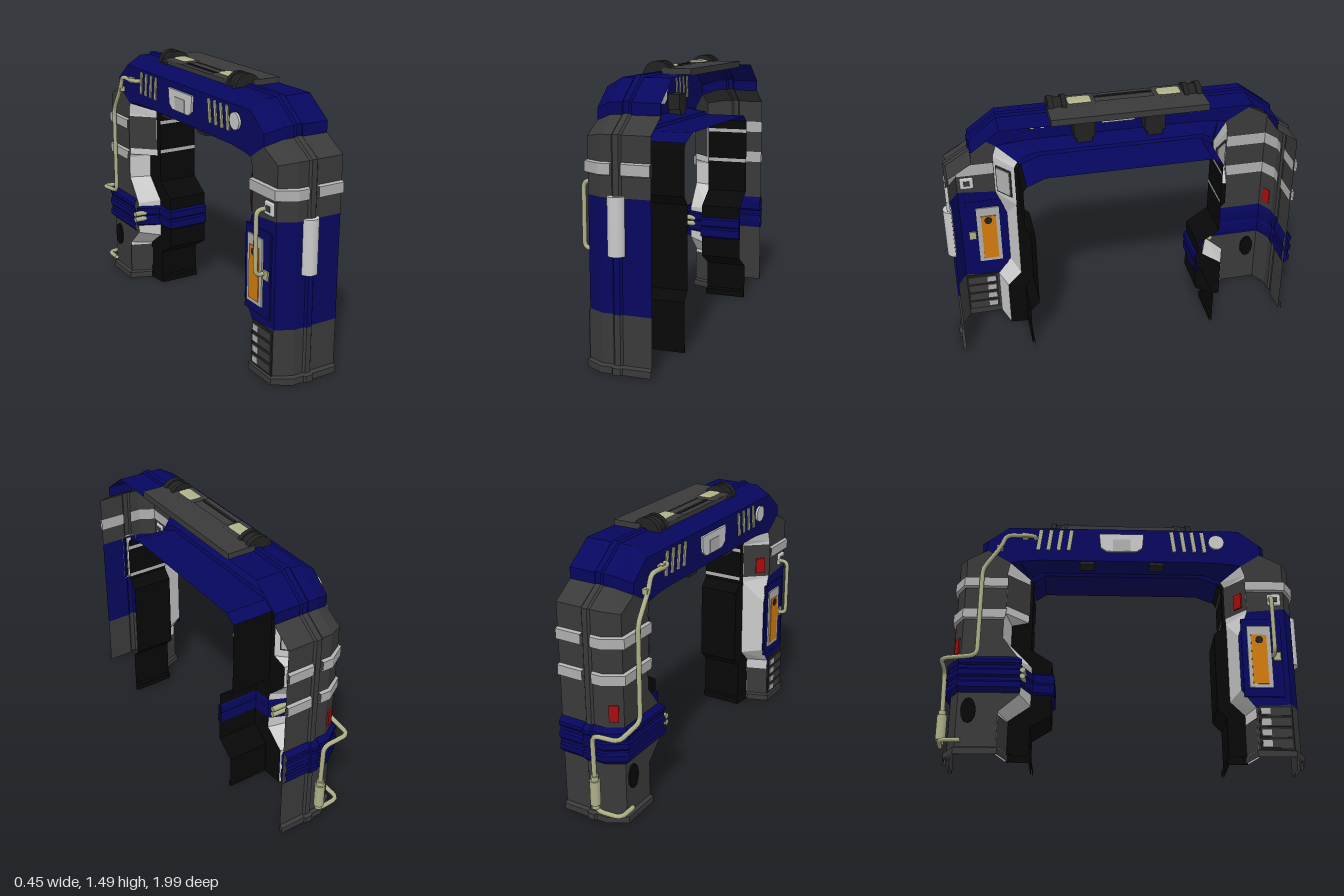
import * as THREE from 'three';
import { RoundedBoxGeometry } from 'three/addons/geometries/RoundedBoxGeometry.js';

const M = {};
for (const [name, color] of Object.entries({
  gray: 0x3a3a3a, blue: 0x07075f, black: 0x080808, silver: 0xb0b0b0, white: 0xcacaca,
  khaki: 0xaeb088, orange: 0xd47c0c, red: 0xa80c0c, charcoal: 0x222222,
})) {
  M[name] = new THREE.MeshStandardMaterial({ color, side: THREE.DoubleSide });
  M[name].name = name;
}

// stations round the arch, front leg to back leg: outer z,y | side-wall edge z,y | inner lip z,y | trim share
const STATIONS = [
  [.96, 0, .72, 0, .58, 0, .3], [.96, .3, .72, .28, .58, .27, .3], [.96, .42, .645, .38, .53, .32, .4],
  [.96, .7, .645, .70, .53, .77, .4], [.96, .87, .70, .85, .58, .82, .85], [.96, 1.17, .70, 1.08, .58, 1.06, .85],
  [.83, 1.25, .68, 1.14, .56, 1.09, .85], [.83, 1.31, .62, 1.15, .53, 1.1, .7], [.68, 1.42, .50, 1.16, .46, 1.13, .5],
  [-.65, 1.42, -.47, 1.16, -.44, 1.13, .5], [-.80, 1.31, -.58, 1.15, -.48, 1.1, .7], [-.80, 1.25, -.63, 1.14, -.5, 1.09, .85],
  [-.92, 1.17, -.64, 1.08, -.5, 1.06, .85], [-.92, .84, -.64, .82, -.5, .82, .85], [-.92, .82, -.65, .8, -.5, .8, .25],
  [-.92, .7, -.65, .67, -.5, .66, .25], [-.92, .55, -.545, .53, -.38, .58, .33],
  [-.92, .35, -.545, .34, -.38, .27, .33], [-.92, .22, -.655, .24, -.49, .2, .27], [-.92, 0, -.655, 0, -.49, 0, .27],
];
// outer profile with centre ridge and bevelled edge: x, raise
const OUTER = [[.19, 0], [.04, 0], [.03, .012], [0, .012], [-.01, 0], [-.07, 0], [-.157, -.05]];

const V = (x, y, z) => new THREE.Vector3(x, y, z);
const lerp = THREE.MathUtils.lerp;

// columns 0-6 outer profile, 7 side-wall edge, 8 trim edge, 9-10 flat lining
const rings = STATIONS.map((s, i) => {
  const a = STATIONS[Math.max(i - 1, 0)], b = STATIONS[Math.min(i + 1, STATIONS.length - 1)];
  const dz = b[0] - a[0], dy = b[1] - a[1], l = Math.hypot(dz, dy);
  const pts = OUTER.map(([x, d]) => V(x, s[1] - dz / l * d, s[0] + dy / l * d));
  pts.push(V(-.157, s[3], s[2]), V(-.035, lerp(s[3], s[5], s[6]), lerp(s[2], s[4], s[6])),
    V(-.025, s[5], s[4]), V(.214, s[5], s[4]));
  return pts;
});

// faceted sheet from rows of points, limited to columns a..b
function addSheet(out, rows, a, b) {
  for (let i = 0; i + 1 < rows.length; i++) for (let j = a; j < b; j++) {
    const p = rows[i][j], q = rows[i + 1][j], r = rows[i + 1][j + 1], t = rows[i][j + 1];
    for (const v of [p, q, r, p, r, t]) out.push(v.x, v.y, v.z);
  }
}
function sheetMesh(pos, mat, name) {
  const g = new THREE.BufferGeometry();
  g.setAttribute('position', new THREE.Float32BufferAttribute(pos, 3));
  g.computeVertexNormals();
  const m = new THREE.Mesh(g, mat);
  m.name = name;
  return m;
}

// horizontal slice of a leg at height y, pushed outward by off
function legSlice(front, y, off) {
  const leg = front ? rings.slice(0, 6) : rings.slice(12).reverse();
  const s = leg[0].map((_, j) => {
    let k = 0;
    while (k < leg.length - 2 && leg[k + 1][j].y < y) k++;
    const p = leg[k][j], q = leg[k + 1][j], t = THREE.MathUtils.clamp((y - p.y) / (q.y - p.y), 0, 1);
    return V(p.x, y, lerp(p.z, q.z, t));
  });
  return s.map((p, j) => {
    const a = s[Math.max(j - 1, 0)], b = s[Math.min(j + 1, s.length - 1)];
    const tx = b.x - a.x, tz = b.z - a.z, l = Math.hypot(tx, tz), k = (front ? off : -off) / l;
    return V(p.x + tz * k, y, p.z - tx * k);
  });
}

export function createModel() {
  const root = new THREE.Group();
  root.name = 'gateArch';
  const put = (name, geo, mat, x = 0, y = 0, z = 0) => {
    const m = new THREE.Mesh(geo, mat);
    m.name = name;
    m.position.set(x, y, z);
    root.add(m);
    return m;
  };
  const box = (name, mat, w, h, d, x, y, z) => put(name, new THREE.BoxGeometry(w, h, d), mat, x, y, z);
  const wrap = (name, mat, front, rows, a, b) => {
    const list = rows.map(([y, o]) => legSlice(front, y, o));
    if (!front) list.reverse();
    const pos = [];
    addSheet(pos, list, a, b);
    root.add(sheetMesh(pos, mat, name));
  };
  const tube = (name, mat, pts, r) => {
    const path = new THREE.CurvePath(), p = pts.map(a => V(...a));
    let last = p[0];
    for (let i = 1; i < p.length - 1; i++) {
      const c = Math.min(.04, p[i].distanceTo(p[i - 1]) / 2, p[i].distanceTo(p[i + 1]) / 2);
      const a = p[i].clone().add(p[i - 1].clone().sub(p[i]).setLength(c));
      const b = p[i].clone().add(p[i + 1].clone().sub(p[i]).setLength(c));
      path.add(new THREE.LineCurve3(last, a));
      path.add(new THREE.QuadraticBezierCurve3(a, p[i], b));
      last = b;
    }
    path.add(new THREE.LineCurve3(last, p[p.length - 1]));
    return put(name, new THREE.TubeGeometry(path, 90, r, 8), mat);
  };

  // main shell, trim and inner lining, open on the +x side
  const shell = { gray: [], blue: [] }, trim = [], lining = [];
  for (let i = 0; i + 1 < rings.length; i++) {
    const pair = [rings[i], rings[i + 1]], arch = i >= 6 && i <= 10;
    addSheet(arch || (i >= 1 && i <= 3) ? shell.blue : shell.gray, pair, 0, 7);
    addSheet(arch ? shell.blue : trim, pair, 7, 8);
    addSheet(arch ? shell.blue : lining, pair, 8, 10);
  }
  root.add(sheetMesh(shell.gray, M.gray, 'legShell'), sheetMesh(shell.blue, M.blue, 'archShell'),
    sheetMesh(trim, M.white, 'legTrim'), sheetMesh(lining, M.black, 'innerLining'));

  // feet, straps on both faces of the shell, lining strips and trim windows
  for (const front of [true, false]) {
    wrap('foot', M.gray, front, [[0, .018], [.035, .018], [.045, 0]], 0, 8);
    wrap('innerFoot', M.black, front, [[0, .012], [.035, .012], [.045, 0]], 8, 10);
    wrap('lowerChamferPlate', M.gray, front, [[.045, .005], [.22, .005]], 7, 8);
    for (const y of front ? [.975] : [.975, .78])
      for (const [a, b] of [[0, 1], [4, 7]]) {
        wrap('strap', M.silver, front, [[y, 0], [y + .006, .018], [y + .06, .018], [y + .066, 0]], a, b);
        wrap('strapInside', M.silver, front, [[y, -.006], [y + .066, -.006]], a, b);
      }
    for (const y of [.84, 1.02]) wrap('liningStrip', M.silver, front, [[y, .005], [y + .02, .005]], 9, 10);
    wrap('chamferPlate', M.gray, front, [[.86, .006], [1.06, .006]], 7, 8);
    const turn = front ? .694 : -.773, [x, z] = front ? [-.092, .654] : [-.091, -.585];
    box('trimWindowRim', M.gray, .112, .165, .006, x, .95, z).rotation.y = turn;
    box('trimWindow', M.silver, .096, .145, .012, x, .95, z).rotation.y = turn;
  }
  box('redPlate', M.red, .055, .09, .01, -.122, .93, .656).rotation.y = .694;
  box('redPlate', M.red, .05, .09, .012, -.114, .63, -.897).rotation.y = .52;

  // ribbed clamp on the back leg, showing on both faces
  wrap('clamp', M.blue, false, [[.345, .005], [.37, .03], [.40, .03], [.41, .022], [.43, .022], [.44, .032],
    [.47, .032], [.48, .022], [.5, .022], [.51, .03], [.53, .03], [.555, .005]], 0, 7);
  wrap('innerClamp', M.blue, false, [[.385, 0], [.395, .015], [.44, .015], [.45, .006], [.46, .015], [.5, .015], [.51, 0]], 7, 10);
  wrap('clampInside', M.blue, false, [[.35, -.005], [.38, -.014], [.43, -.014], [.44, -.007], [.46, -.007],
    [.47, -.014], [.52, -.014], [.55, -.005]], 0, 7);
  wrap('innerClampInside', M.blue, false, [[.385, -.004], [.395, -.01], [.44, -.01], [.45, -.005], [.46, -.01], [.5, -.01], [.51, -.004]], 7, 10);
  for (const y of [.432, .468]) {
    const rod = put('clampRod', new THREE.CylinderGeometry(.016, .016, .16, 8), M.khaki, -.11, y, -.53);
    rod.rotation.z = Math.PI / 2;
  }

  // front leg: rounded guard, access panel, latch, small light and vents
  put('frontGuard', new THREE.CylinderGeometry(.045, .045, .29, 16, 1, false, -Math.PI / 2, Math.PI), M.white, .01, .735, .955);
  box('guardBack', M.white, .03, .27, .008, .015, .735, .956);
  box('panelSurround', M.blue, .012, .46, .22, -.16, .57, .77);
  box('panelFrame', M.silver, .028, .365, .13, -.161, .572, .755);
  box('orangePanel', M.orange, .036, .29, .085, -.161, .555, .753);
  const dot = put('panelSlot', new THREE.CylinderGeometry(.022, .022, .042, 10), M.charcoal, -.161, .67, .755);
  dot.rotation.z = Math.PI / 2;
  box('latch', M.khaki, .03, .05, .04, -.16, .575, .85);
  put('lightFrame', new RoundedBoxGeometry(.02, .07, .075, 2, .009), M.white, -.159, .925, .855);
  box('lightCentre', M.gray, .026, .03, .035, -.159, .925, .855);
  box('ventBack', M.charcoal, .014, .25, .18, -.157, .165, .82);
  for (let i = 0; i < 4; i++) {
    box('ventSlat', M.gray, .024, .045, .16, -.157, .075 + i * .06, .82);
    box('ventTab', M.silver, .03, .035, .05, -.157, .075 + i * .06, .767);
  }
  tube('handle', M.khaki, [[-.15, .58, .83], [-.22, .58, .83], [-.22, .92, .83], [-.15, .92, .83]], .012);

  // back leg: oval port, pipe run and canister
  const port = put('ovalPort', new THREE.CylinderGeometry(.04, .04, .02, 12), M.black, -.158, .245, -.81);
  port.rotation.z = Math.PI / 2;
  port.scale.x = 1.75;
  tube('pipe', M.khaki, [[-.175, .075, -.84], [-.175, .075, -.95], [-.03, .075, -.96], [-.03, .52, -.97], [-.19, .53, -.97],
    [-.19, .55, -.78], [-.19, 1.08, -.78], [-.19, 1.23, -.68], [-.19, 1.3, -.66], [-.19, 1.3, -.5], [-.16, 1.3, -.49]], .013);
  put('canister', new THREE.CylinderGeometry(.028, .028, .14, 12), M.khaki, -.03, .19, -.965);
  for (const y of [.11, .27]) put('canisterCap', new THREE.CylinderGeometry(.02, .02, .03, 12), M.khaki, -.03, y, -.965);
  for (const [y, z] of [[1.22, -.69], [1.3, -.55]]) box('pipeClip', M.khaki, .03, .03, .035, -.182, y, z);

  // arch side: round light, slats, centre window and brackets inside the shell
  put('roundLight', new THREE.CylinderGeometry(.045, .045, .022, 20), M.white, -.158, 1.29, .545).rotation.z = Math.PI / 2;
  for (const s of [1, -1]) for (let i = 0; i < 4; i++) {
    const slat = box('lightSlat', M.khaki, .012, .13, .02, -.158, 1.29, s * (.295 + i * .058));
    slat.rotation.x = s * -.12;
  }
  const win = new THREE.Shape([[-.128, .058], [.128, .058], [.12, -.03], [.085, -.056], [-.085, -.056], [-.12, -.03]]
    .map(p => new THREE.Vector2(...p)));
  const pane = put('centreWindow', new THREE.ExtrudeGeometry(win, { depth: .022, bevelEnabled: false }), M.white, -.169, 1.275, 0);
  pane.rotation.y = Math.PI / 2;
  box('windowCentre', M.silver, .028, .075, .1, -.158, 1.258, 0);
  for (const z of [.2, -.195]) {
    box('bracket', M.charcoal, .07, .09, .115, -.115, 1.225, z);
    box('bracketFoot', M.charcoal, .07, .04, .085, -.115, 1.16, z);
  }

  // roof lamp unit
  box('roofPlate', M.gray, .16, .035, .83, .11, 1.433, 0);
  box('roofTray', M.gray, .1, .03, .7, -.02, 1.43, 0);
  box('trayRail', M.charcoal, .015, .03, .3, -.03, 1.436, 0);
  for (const s of [1, -1]) {
    for (const [r, z, d] of [[.077, .395, .03], [.068, .36, .05], [.077, .325, .025]]) {
      const hood = put('lampHood', new THREE.CylinderGeometry(r, r, d, 16, 1, false, Math.PI / 2, Math.PI), M.charcoal, 0, 1.41, s * z);
      hood.rotation.x = Math.PI / 2;
    }
    put('lampHousing', new RoundedBoxGeometry(.13, .03, .17, 2, .012), M.gray, -.005, 1.438, s * .24);
    put('roofLamp', new RoundedBoxGeometry(.08, .04, .13, 3, .018), M.khaki, 0, 1.443, s * .24);
  }
  return root;
}
